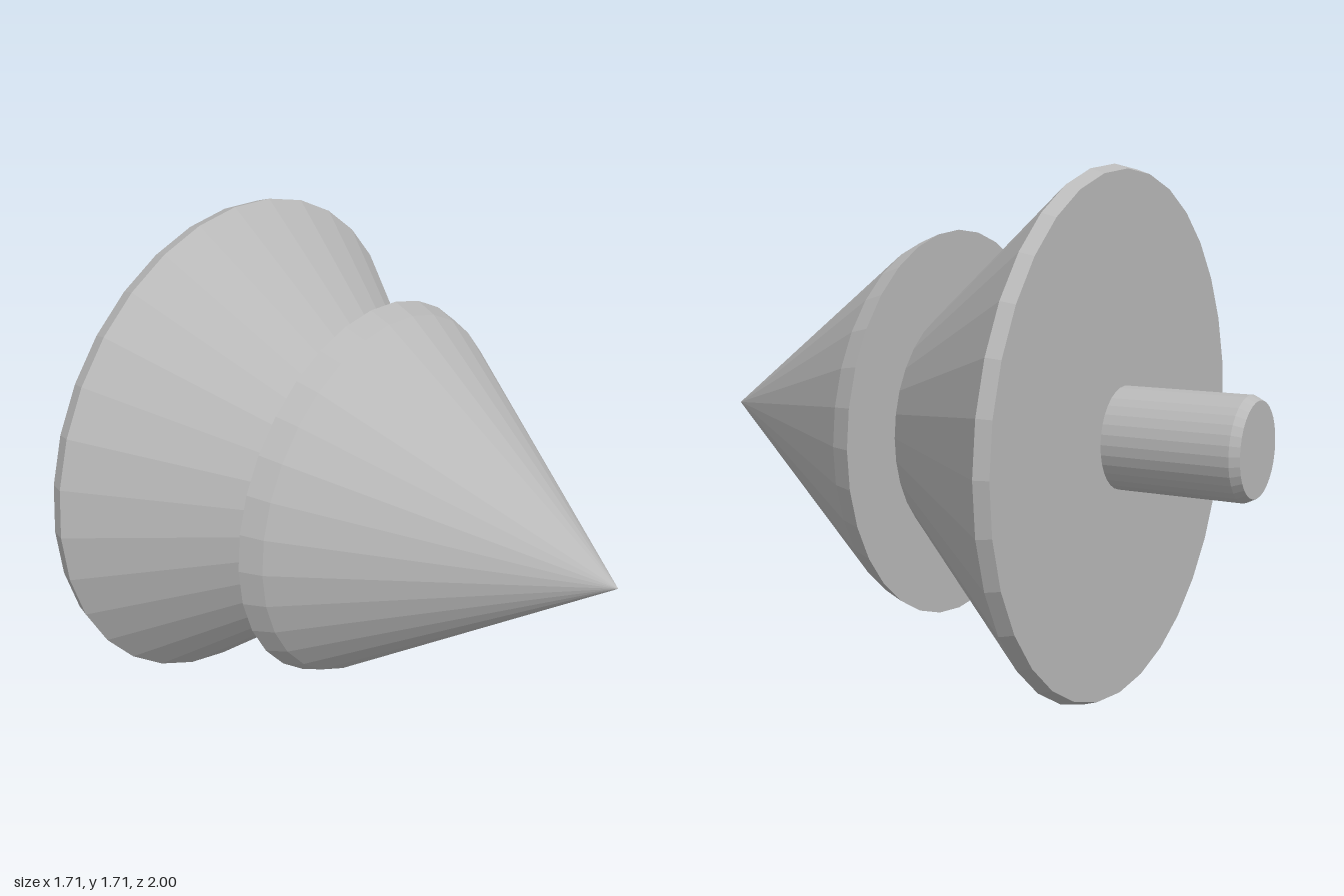
import * as THREE from 'three';

const SIDES = 32;
const AXIS_HEIGHT = 0.853;

export function createModel() {
  const model = new THREE.Group();
  model.name = 'doubleConePlug';
  const grey = new THREE.MeshStandardMaterial({ color: 0xb8b8b8, flatShading: true });
  grey.name = 'plain grey';

  // Turned part about the z axis; profile is [radius, z] from back to front
  const addTurned = (name, profile) => {
    const points = profile.map(([r, z]) => new THREE.Vector2(r, z));
    const geometry = new THREE.LatheGeometry(points, SIDES).rotateX(Math.PI / 2);
    const mesh = new THREE.Mesh(geometry, grey);
    mesh.name = name;
    mesh.position.y = AXIS_HEIGHT;
    model.add(mesh);
  };

  // Rear stem with a chamfered end
  addTurned('stem', [[0, -1], [0.15, -1], [0.165, -0.97], [0.165, -0.55]]);

  // Wide rear cone with a bevelled rim, meeting the back of the front cone
  addTurned('rearCone', [[0, -0.555], [0.838, -0.555], [0.853, -0.51], [0.387, 0.055]]);

  // Pointed front cone with a bevelled rim
  addTurned('frontCone', [[0, 0.055], [0.643, 0.055], [0.615, 0.127], [0, 1]]);

  return model;
}
